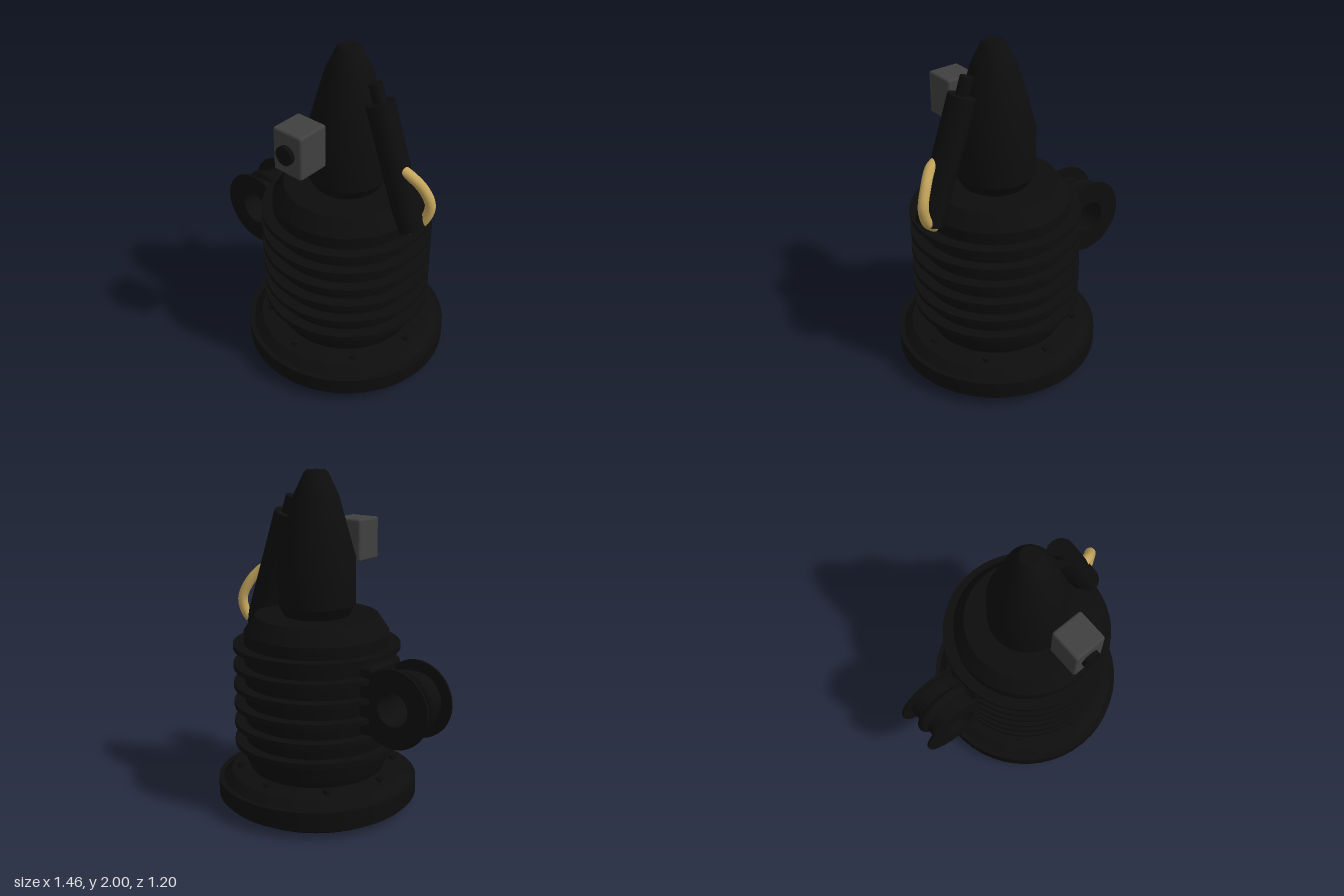
import * as THREE from 'three';
import { toCreasedNormals } from 'three/addons/utils/BufferGeometryUtils.js';
import { RoundedBoxGeometry } from 'three/addons/geometries/RoundedBoxGeometry.js';

export function createModel() {
  const black = new THREE.MeshStandardMaterial({ name: 'black', color: 0x0d0d0d });
  const grey = new THREE.MeshStandardMaterial({ name: 'grey', color: 0x404040 });
  const brass = new THREE.MeshStandardMaterial({ name: 'brass', color: 0xc4a55c });

  const model = new THREE.Group();
  model.name = 'finnedCylinder';
  const AXIS = 0.13; // x of the main vertical axis

  const add = (name, geometry, material, x = 0, y = 0, z = 0) => {
    const mesh = new THREE.Mesh(geometry, material);
    mesh.name = name;
    mesh.position.set(x, y, z);
    model.add(mesh);
    return mesh;
  };
  const lathe = (name, profile) => {
    const points = profile.map(([r, y]) => new THREE.Vector2(r, y));
    return add(name, toCreasedNormals(new THREE.LatheGeometry(points, 48), 0.45), black, AXIS);
  };

  // Base flange
  lathe('base', [
    [0, 0], [0.5, 0], [0.57, 0.04], [0.57, 0.07], [0.6, 0.07], [0.6, 0.17],
    [0.57, 0.17], [0.52, 0.215], [0.4, 0.235], [0, 0.235],
  ]);

  // Bolts around the base
  for (let i = 0; i < 8; i++) {
    const a = (i * Math.PI) / 4;
    const x = AXIS + 0.465 * Math.cos(a);
    const z = 0.465 * Math.sin(a);
    add('boltShank', new THREE.CylinderGeometry(0.015, 0.015, 0.04, 12), black, x, 0.225, z);
    add('boltHead', new THREE.CylinderGeometry(0.025, 0.025, 0.016, 12), black, x, 0.246, z);
  }

  // Barrel with cooling fins
  lathe('barrel', [[0, 0.23], [0.4, 0.23], [0.43, 0.3], [0.43, 1.07], [0.365, 1.165], [0, 1.165]]);
  for (let i = 0; i < 6; i++) {
    add('fin', new THREE.CylinderGeometry(0.495, 0.495, 0.03, 48), black, AXIS, 0.402 + i * 0.1165, 0);
  }

  // Tapered nose
  lathe('nose', [
    [0, 1.16], [0.19, 1.16], [0.23, 1.23], [0.23, 1.5], [0.13, 1.86], [0.07, 1.985], [0.055, 2], [0, 2],
  ]);

  // Tilted side cylinder with a narrow tip
  const bottom = new THREE.Vector3(0.585, 1.05, 0);
  const direction = new THREE.Vector3(-0.331, 0.944, 0).normalize();
  const tilted = (name, radius, from, to) => {
    const mesh = add(name, new THREE.CylinderGeometry(radius, radius, to - from, 32), black);
    mesh.position.copy(bottom).addScaledVector(direction, (from + to) / 2);
    mesh.quaternion.setFromUnitVectors(new THREE.Vector3(0, 1, 0), direction);
  };
  tilted('sideCylinder', 0.08, 0, 0.735);
  tilted('sideCylinderTip', 0.038, 0.7, 0.84);

  // Brass pipe looping along the side cylinder
  const path = new THREE.CatmullRomCurve3([
    [0.53, 1.4, 0.01], [0.565, 1.38, 0], [0.625, 1.3, -0.04],
    [0.66, 1.2, -0.062], [0.635, 1.1, -0.05], [0.565, 1.025, -0.01],
  ].map((p) => new THREE.Vector3(...p)));
  add('brassPipe', new THREE.TubeGeometry(path, 40, 0.03, 14), brass);
  for (const end of [0, 1]) {
    const p = path.getPoint(end);
    add('pipeEnd', new THREE.SphereGeometry(0.03, 14, 8), brass, p.x, p.y, p.z);
  }

  // Box with a round lens in front of the nose
  add('sensorBox', new RoundedBoxGeometry(0.196, 0.256, 0.196, 3, 0.015), grey, AXIS, 1.567, 0.388);
  const lens = add('lens', new THREE.CylinderGeometry(0.054, 0.054, 0.06, 28), black, AXIS, 1.567, 0.482);
  lens.rotation.x = Math.PI / 2;

  // Side pulley: drum, two cheek plates, raised middle rib
  const RX = -0.5, RY = 0.735;
  const ring = (name, radius, depth, z) => {
    const shape = new THREE.Shape().absarc(0, 0, radius, 0, Math.PI * 2, false);
    shape.holes.push(new THREE.Path().absarc(0, 0, 0.1, 0, Math.PI * 2, true));
    const geometry = new THREE.ExtrudeGeometry(shape, { depth, bevelEnabled: false, curveSegments: 40 });
    geometry.translate(0, 0, -depth / 2);
    add(name, toCreasedNormals(geometry, 0.5), black, RX, RY, z);
  };
  ring('pulleyDrum', 0.165, 0.25, 0);
  for (const side of [-1, 1]) ring('pulleyCheek', 0.23, 0.014, side * 0.123);
  add('pulleyRib', new THREE.TorusGeometry(0.165, 0.036, 14, 40), black, RX, RY, 0);

  // Bracket joining the pulley to the barrel
  add('bracket', new RoundedBoxGeometry(0.12, 0.4, 0.25, 2, 0.02), black, -0.295, 0.74, 0);

  return model;
}
